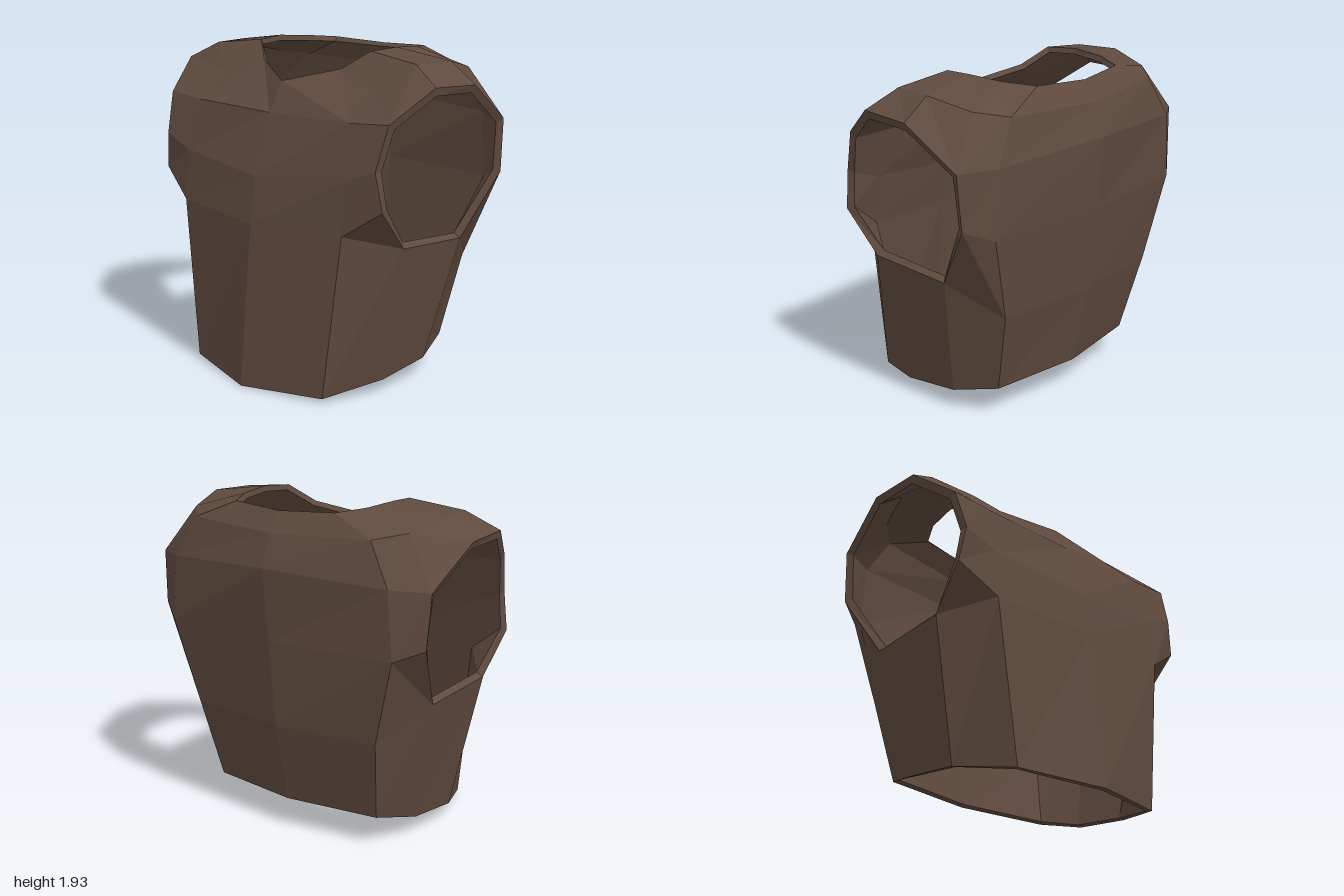
import * as THREE from 'three';

// Left half of the shell (+x); the right half is mirrored.
const POINTS = {
  // hem, front to back
  B0: [0, 0, .69], B1: [.52, .025, .555], B2: [.67, .085, .21],
  B3: [.67, .12, -.145], B4: [.58, .18, -.41], B5: [0, .18, -.49],
  // chest rows
  P0: [0, .95, .6], P1: [.64, .98, .53],
  R0: [0, 1.22, .555], R1: [.64, 1.28, .5],
  U0: [0, 1.57, .44], U1: [.6, 1.58, .43], T: [.59, 1.74, .25],
  // armhole loop
  A0: [.85, .9, .26], A1: [.875, 1.14, .47], A2: [.84, 1.355, .49],
  A3: [.87, 1.6, .42], A4: [.98, 1.78, .175], A5: [1, 1.765, -.14],
  A6: [.96, 1.54, -.465], A7: [.94, 1.23, -.48], A8: [.84, .86, -.25],
  // back rows
  K1: [0, .655, -.59], Q1: [.65, .665, -.525],
  K2: [0, 1.165, -.645], Q2: [.79, 1.165, -.58],
  K3: [0, 1.585, -.685], Q3: [.76, 1.55, -.58],
  // shoulder loop
  S0: [0, 1.77, -.62], S1: [.62, 1.79, -.54], S2: [.76, 1.82, -.39],
  S3: [.83, 1.88, -.14], S4: [.79, 1.88, .11],
  // neck loop
  N0: [0, 1.885, -.54], N1: [.35, 1.9, -.49], N2: [.44, 1.915, -.32],
  N3: [.47, 1.93, -.11], N4: [.44, 1.92, .08], N5: [.31, 1.82, .18], N6: [0, 1.74, .34],
};

const FACES = [
  // chest
  'B0 B1 P1 P0', 'P0 P1 R1 R0', 'P1 A1 A2 R1', 'R0 R1 U1 U0', 'R1 A2 A3 U1',
  'N6 U0 U1 N5', 'N5 U1 T', 'T U1 A3', 'N4 N5 T S4', 'S4 T A3 A4',
  // flank
  'B1 B2 A0 P1', 'P1 A0 A1', 'B2 B3 A8 A0', 'B3 B4 Q1 A8',
  // back
  'Q1 Q2 A7 A8', 'B4 B5 K1 Q1', 'Q1 K1 K2 Q2', 'Q2 K2 K3 Q3', 'A7 Q2 Q3 A6', 'Q3 K3 S0 S1',
  // shoulder
  'A6 Q3 S1 S2', 'A6 S2 S3 A5', 'A5 S3 S4 A4',
  'S1 S0 N0 N1', 'S1 N1 N2 S2', 'S2 N2 N3 S3', 'S3 N3 N4 S4',
].map((f) => f.split(' '));

const THICKNESS = 0.035;

// Full outer surface: points by name, mirrored ones get an "m" suffix.
function mirroredShell() {
  const points = {};
  const mirrorName = (n) => (POINTS[n][0] === 0 ? n : n + 'm');
  for (const [n, [x, y, z]] of Object.entries(POINTS)) {
    points[n] = new THREE.Vector3(x, y, z);
    if (x !== 0) points[n + 'm'] = new THREE.Vector3(-x, y, z);
  }
  const faces = [...FACES, ...FACES.map((f) => f.map(mirrorName).reverse())];
  return { points, faces };
}

// Lining points: pushed inward along the averaged normals.
function liningPoints(points, faces) {
  const normals = {};
  for (const n in points) normals[n] = new THREE.Vector3();
  for (const f of faces) {
    const p = f.map((n) => points[n]);
    const d1 = p[2].clone().sub(p[0]);
    const d2 = p[p.length - 1].clone().sub(p[1]);
    const normal = p.length === 3
      ? p[1].clone().sub(p[0]).cross(d1) : d1.cross(d2);
    normal.normalize();
    f.forEach((n) => normals[n].add(normal));
  }
  const inner = {};
  for (const n in points) {
    inner[n] = points[n].clone().addScaledVector(normals[n].normalize(), -THICKNESS);
    if (n[0] === 'A') { // narrow the armhole slightly
      inner[n].y += (1.33 - inner[n].y) * 0.04;
      inner[n].z *= 0.96;
    }
  }
  return inner;
}

function polygonsMesh(name, polygons, material) {
  const pos = [];
  for (const p of polygons) {
    for (let i = 1; i < p.length - 1; i++) {
      for (const v of [p[0], p[i], p[i + 1]]) pos.push(v.x, v.y, v.z);
    }
  }
  const geometry = new THREE.BufferGeometry();
  geometry.setAttribute('position', new THREE.Float32BufferAttribute(pos, 3));
  geometry.computeVertexNormals();
  const mesh = new THREE.Mesh(geometry, material);
  mesh.name = name;
  return mesh;
}

export function createModel() {
  const leather = new THREE.MeshStandardMaterial({ color: 0x5f4a3e });
  leather.name = 'brown leather';
  leather.flatShading = true;

  const { points, faces } = mirroredShell();
  const inner = liningPoints(points, faces);

  // Open edges are those used by a single face: hem, neck and armholes.
  const used = new Set();
  const edges = [];
  for (const f of faces) {
    f.forEach((a, i) => {
      const b = f[(i + 1) % f.length];
      used.add(a + '>' + b);
      edges.push([a, b]);
    });
  }
  const open = edges.filter(([a, b]) => !used.has(b + '>' + a));

  const group = new THREE.Group();
  group.name = 'vest';
  group.add(
    polygonsMesh('outerShell', faces.map((f) => f.map((n) => points[n])), leather),
    polygonsMesh('lining', faces.map((f) => f.map((n) => inner[n]).reverse()), leather),
    polygonsMesh('rims', open.map(([a, b]) => [points[b], points[a], inner[a], inner[b]]), leather),
  );
  return group;
}
